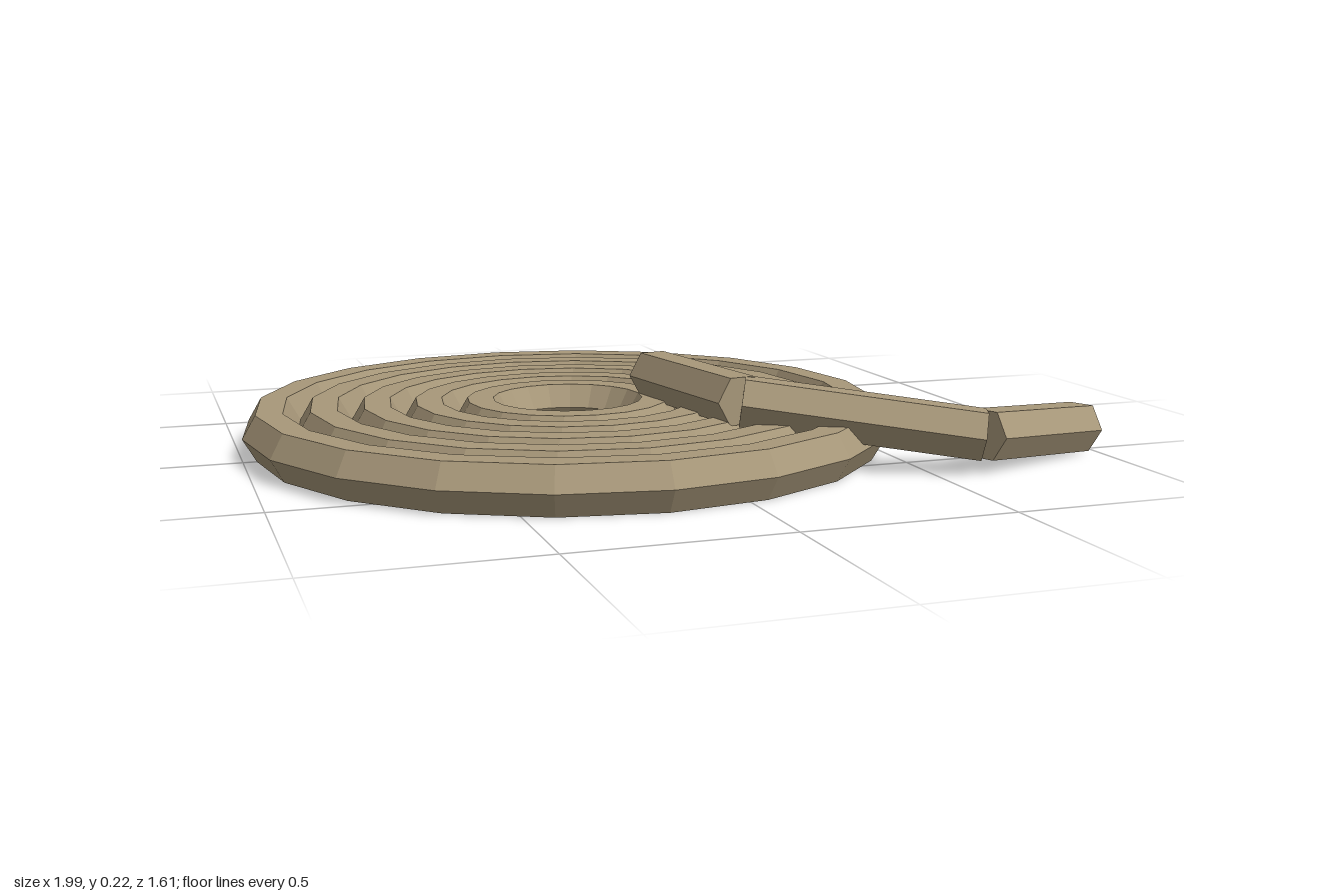
import * as THREE from 'three';

export function createModel() {
  const model = new THREE.Group();
  model.name = 'coiledRope';
  const rope = new THREE.MeshStandardMaterial({ color: 0xa8987a, flatShading: true });
  rope.name = 'ropeTan';

  const r = 0.065;                       // rope radius
  const restY = r * Math.sin(Math.PI / 3); // centre height of a flat-lying hexagonal rope

  // Concentric coils lying on the ground, each touching the next
  const coils = new THREE.Group();
  coils.name = 'coils';
  coils.position.set(-0.195, restY, 0);
  for (let i = 0; i < 5; i++) {
    const ring = new THREE.Mesh(new THREE.TorusGeometry(0.22 + i * 2 * r, r, 6, 20), rope);
    ring.rotation.x = Math.PI / 2;
    ring.name = 'coil' + (i + 1);
    coils.add(ring);
  }
  model.add(coils);

  // Straight hexagonal length of rope between two points, flat side up
  function strand(name, a, b) {
    const from = new THREE.Vector3(...a), to = new THREE.Vector3(...b);
    const dir = to.clone().sub(from);
    const length = dir.length();
    dir.normalize();
    const side = new THREE.Vector3().crossVectors(new THREE.Vector3(0, 1, 0), dir).normalize();
    const up = new THREE.Vector3().crossVectors(dir, side);
    const mesh = new THREE.Mesh(new THREE.CylinderGeometry(r, r, length, 6), rope);
    mesh.quaternion.setFromRotationMatrix(new THREE.Matrix4().makeBasis(up, dir, side));
    mesh.position.copy(from).add(to).multiplyScalar(0.5);
    mesh.name = name;
    return mesh;
  }

  // Loose end running from the middle over the coils to the ground
  const looseEnd = new THREE.Group();
  looseEnd.name = 'looseEnd';
  const path = [[0.03, 0.16, 0], [0.105, 0.16, 0.43], [0.617, 0.09, 0.65], [0.97, 0.059, 0.506]];
  for (let i = 0; i < 3; i++) looseEnd.add(strand('strand' + (i + 1), path[i], path[i + 1]));
  model.add(looseEnd);

  return model;
}
